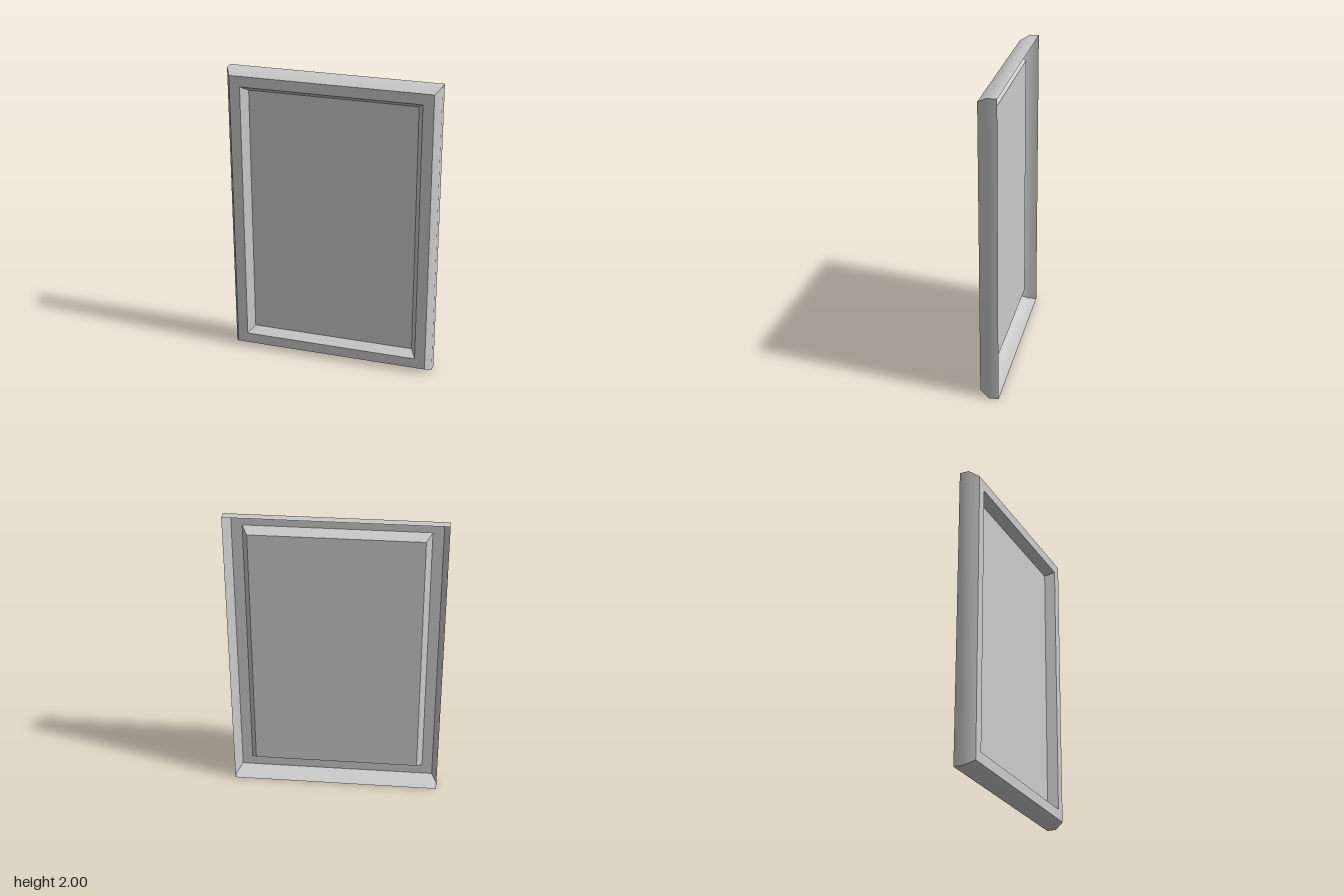
import * as THREE from 'three';
import { toCreasedNormals } from 'three/addons/utils/BufferGeometryUtils.js';

const HALF_W = 0.7, HEIGHT = 2, FRONT = 0.0625;

// Corners of the rectangle set in from the outer edge, counter-clockwise from the front
function ring([inset, z]) {
  const x = HALF_W - inset, y0 = inset, y1 = HEIGHT - inset;
  return [[-x, y0, z], [x, y0, z], [x, y1, z], [-x, y1, z]];
}

// Mitred four-sided band swept through [inset, z] profile points
function mitredBand(profile) {
  const pos = [];
  for (let p = 0; p < profile.length - 1; p++) {
    const a = ring(profile[p]), b = ring(profile[p + 1]);
    for (let i = 0; i < 4; i++) {
      const j = (i + 1) % 4;
      pos.push(...a[i], ...a[j], ...b[j], ...a[i], ...b[j], ...b[i]);
    }
  }
  const geo = new THREE.BufferGeometry();
  geo.setAttribute('position', new THREE.Float32BufferAttribute(pos, 3));
  return toCreasedNormals(geo, Math.PI / 4);
}

export function createModel() {
  const group = new THREE.Group();
  group.name = 'framedPanel';
  const material = new THREE.MeshStandardMaterial({ color: 0xcccccc, side: THREE.DoubleSide });
  const add = (name, geo) => {
    const mesh = new THREE.Mesh(geo, material);
    mesh.name = name;
    group.add(mesh);
    return mesh;
  };

  // Outer wall running softly into its bevel, open at the back
  add('outerRim', mitredBand([[0, -FRONT], [0, 0], [0.035, FRONT]]));
  // Flat front border
  add('frontBorder', mitredBand([[0.035, FRONT], [0.105, FRONT]]));
  // Sloping inner edge down to the panel
  add('innerBevel', mitredBand([[0.105, FRONT], [0.142, 0]]));
  // Recessed panel
  const panel = add('panel', new THREE.PlaneGeometry(2 * (HALF_W - 0.142), HEIGHT - 2 * 0.142));
  panel.position.y = HEIGHT / 2;

  return group;
}
